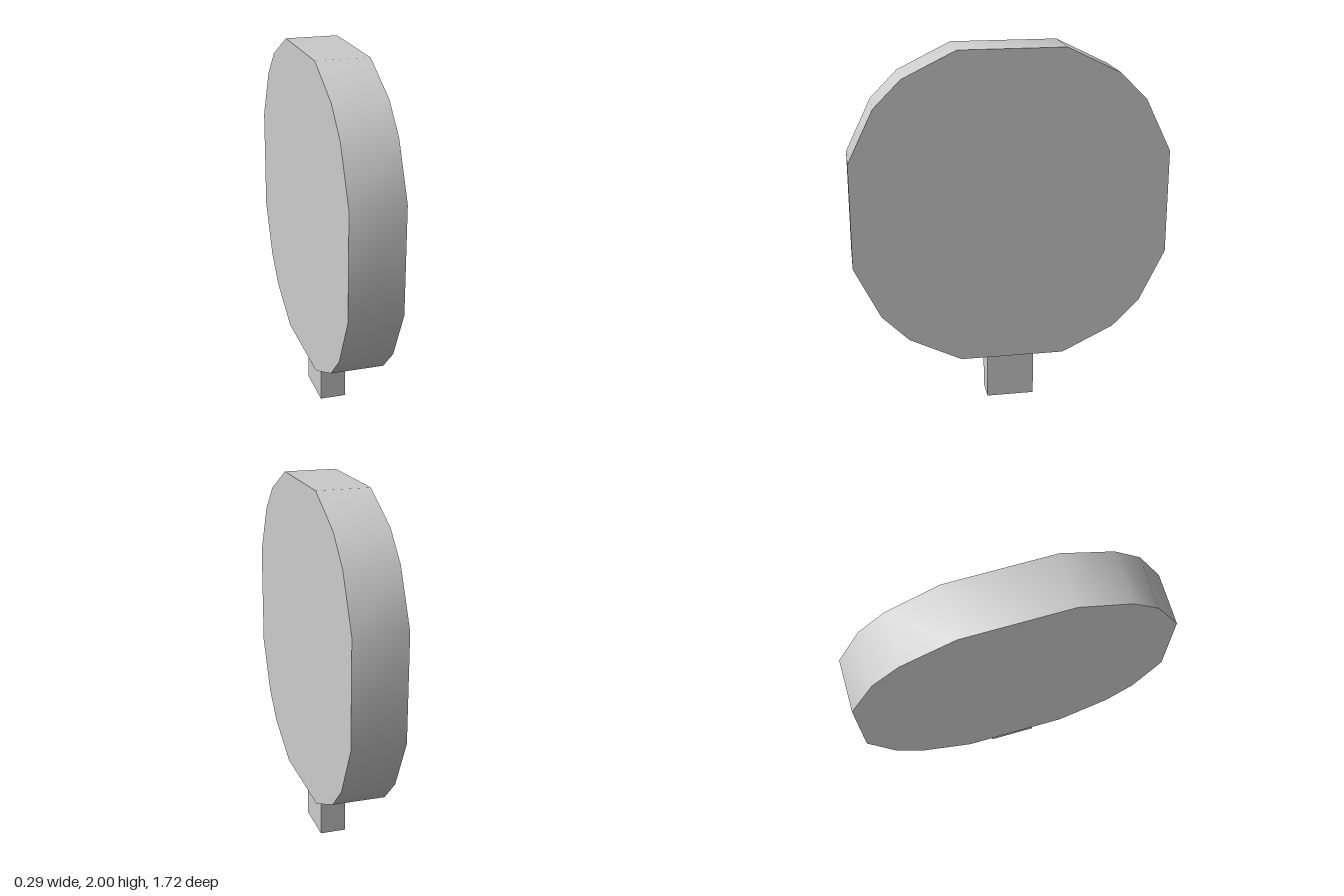
import * as THREE from 'three';
import { toCreasedNormals } from 'three/addons/utils/BufferGeometryUtils.js';

export function createModel() {
  const model = new THREE.Group();
  const material = new THREE.MeshStandardMaterial({ color: 0xcccccc });

  const add = (name, geometry, y) => {
    const mesh = new THREE.Mesh(geometry, material);
    mesh.name = name;
    mesh.position.y = y;
    model.add(mesh);
  };

  // Sixteen-sided disc: one quarter of the outline, turned four times
  const quarter = [[0.86, 0.287], [0.72, 0.573], [0.573, 0.72], [0.287, 0.86]];
  const outline = [];
  for (let i = 0; i < 4; i++) {
    for (const [x, y] of quarter) {
      outline.push(new THREE.Vector2(x, y).rotateAround(new THREE.Vector2(), i * Math.PI / 2));
    }
  }
  const thickness = 0.287;
  const disc = new THREE.ExtrudeGeometry(new THREE.Shape(outline), { depth: thickness, bevelEnabled: false });
  disc.translate(0, 0, -thickness / 2);
  disc.rotateY(Math.PI / 2);
  // Smooth rim, sharp edges at the flat faces
  add('disc', toCreasedNormals(disc, 0.6), 1.14);

  // Short square-edged stick below the disc
  add('stick', new THREE.BoxGeometry(0.144, 0.28, 0.264), 0.14);

  return model;
}
